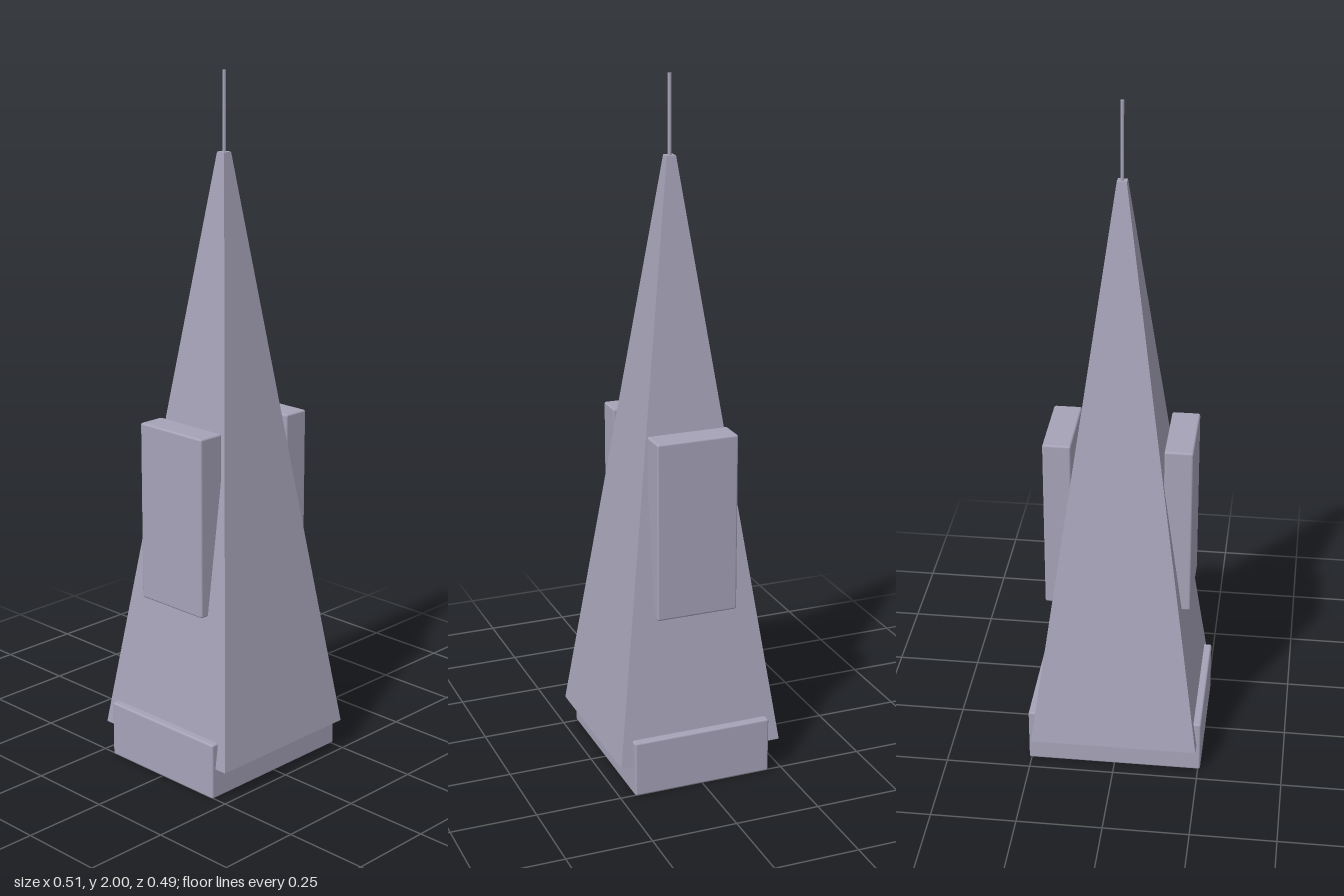
import * as THREE from 'three';
import { RoundedBoxGeometry } from 'three/addons/geometries/RoundedBoxGeometry.js';

export function createModel() {
  const model = new THREE.Group();
  model.name = 'skyscraper';

  const stone = new THREE.MeshStandardMaterial({ color: 0xa6a3b8 });
  stone.name = 'grey lilac stone';

  const add = (name, geometry, x, y, z) => {
    const mesh = new THREE.Mesh(geometry, stone);
    mesh.name = name;
    mesh.position.set(x, y, z);
    model.add(mesh);
  };

  // Base block with softened edges
  add('base', new RoundedBoxGeometry(0.514, 0.166, 0.414, 2, 0.006), 0, 0.083, 0);

  // Four-sided tapering tower, slightly overhanging the base front and back
  const bottom = 0.09, top = 1.78;
  const tower = new THREE.CylinderGeometry(0.0135 * Math.SQRT2, 0.245 * Math.SQRT2, top - bottom, 4)
    .rotateY(Math.PI / 4)
    .toNonIndexed();
  tower.computeVertexNormals();
  add('tower', tower, 0, (top + bottom) / 2, 0);

  // Upright wings on both sides
  for (const [name, side] of [['leftWing', 1], ['rightWing', -1]]) {
    add(name, new RoundedBoxGeometry(0.081, 0.522, 0.241, 2, 0.006), side * 0.1715, 0.77, 0);
  }

  // Spire on the tip
  add('spire', new THREE.CylinderGeometry(0.005, 0.005, 0.23, 12), 0, 1.885, 0);

  return model;
}
